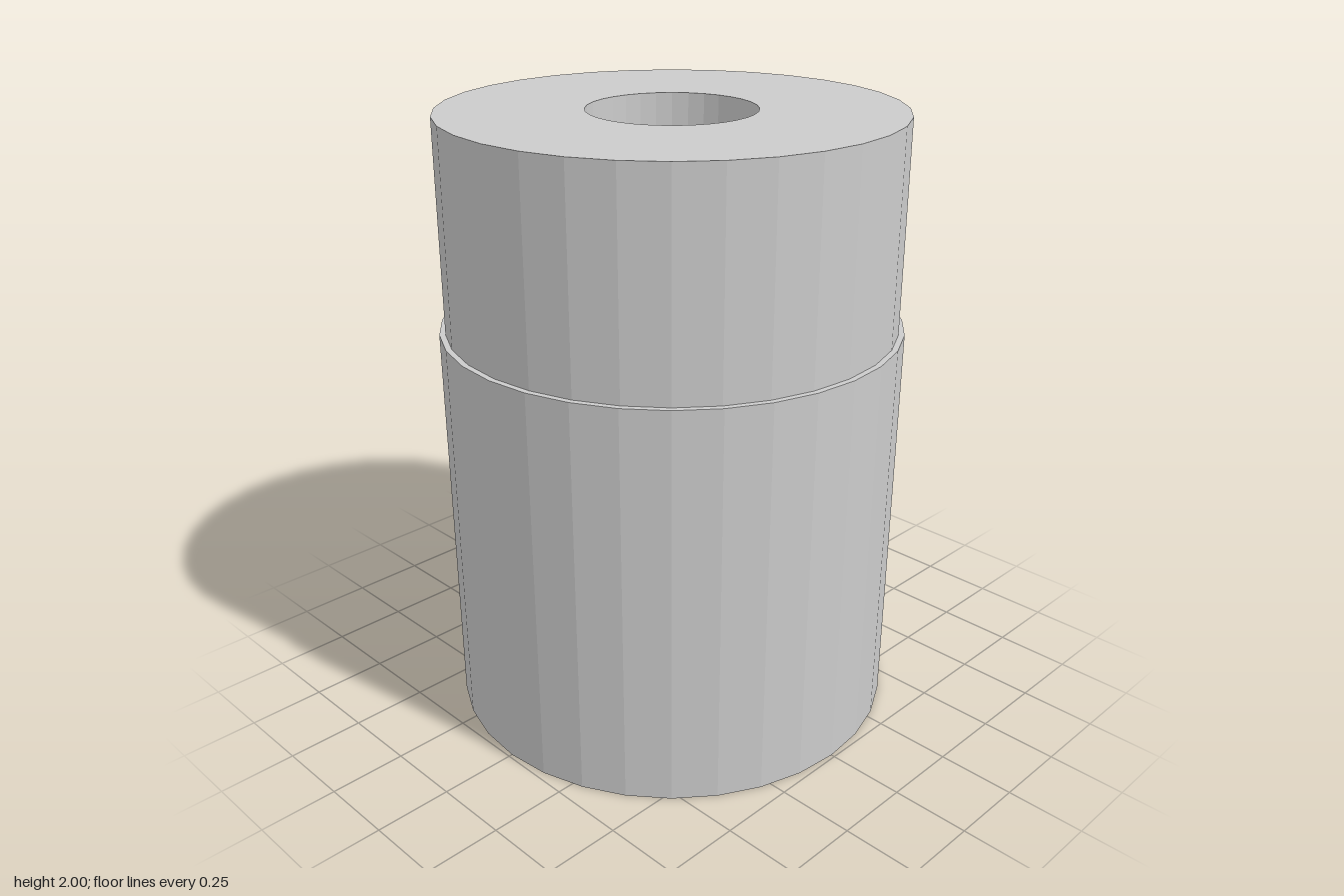
import * as THREE from 'three';

const SIDES = 32;

export function createModel() {
  const group = new THREE.Group();
  const material = new THREE.MeshStandardMaterial({ color: 0xcccccc, flatShading: true });

  // Revolves a profile of [radius, height] pairs around the y axis
  const addTurned = (name, profile) => {
    const points = profile.map(([r, y]) => new THREE.Vector2(r, y));
    const mesh = new THREE.Mesh(new THREE.LatheGeometry(points, SIDES), material);
    mesh.name = name;
    group.add(mesh);
  };

  // Solid lower body, widening slightly towards its shoulder
  addTurned('lowerBody', [[0, 0], [0.738, 0], [0.744, 1.32], [0, 1.32]]);

  // Hollow upper collar: outer wall, top plate with round opening, inner cavity
  addTurned('upperCollar', [
    [0.725, 1.32], [0.725, 2], [0.266, 2],
    [0.266, 1.885], [0.69, 1.885], [0.69, 1.32],
  ]);

  return group;
}
